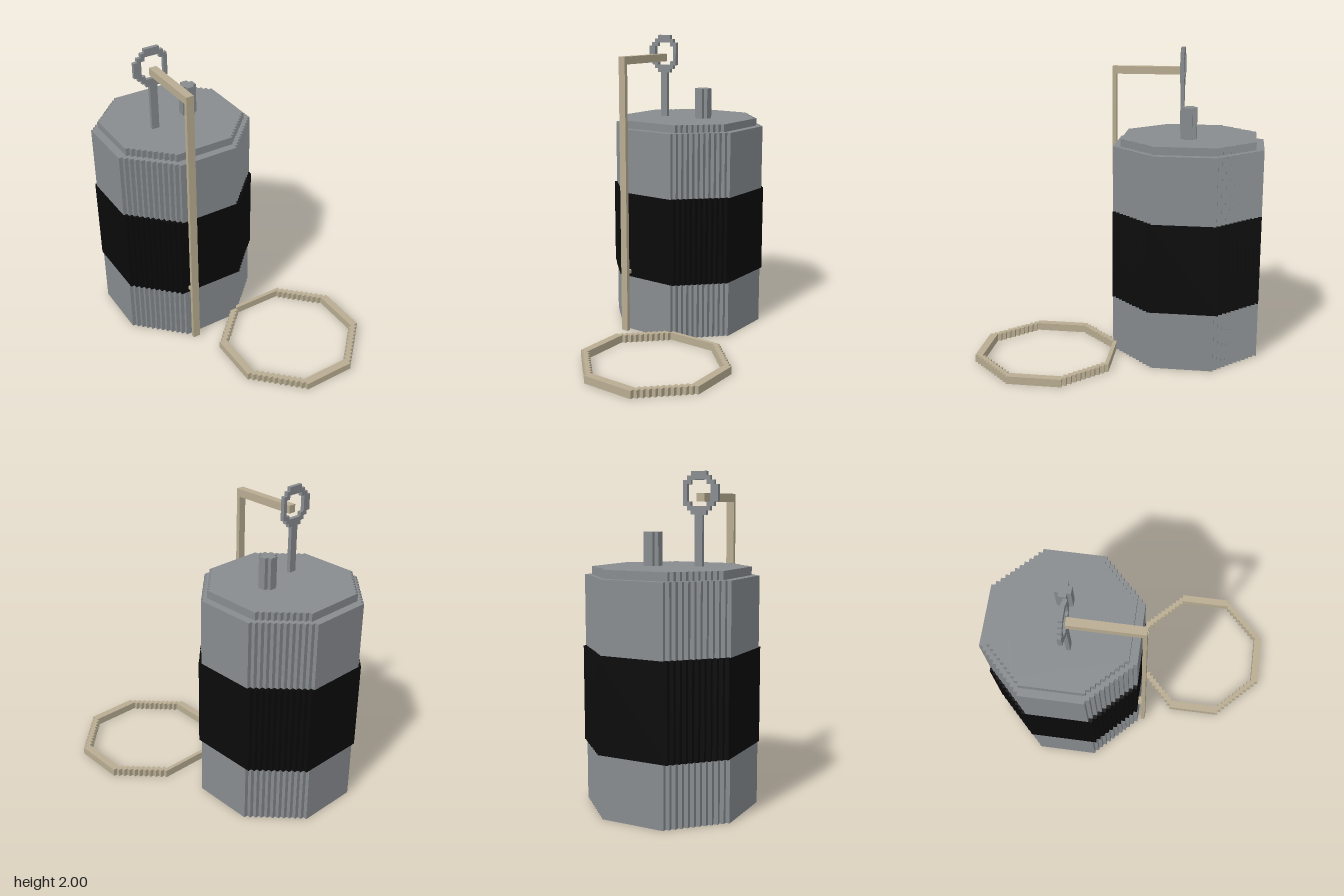
import * as THREE from 'three';

const U = 2 / 79; // size of one block

// Stepped octagon outline: n blocks wide, corner inset c, lower corner at (x0, y0).
// firstRow drops the lowest rows, maxX trims the right side.
function steppedOctagon(x0, y0, n, c, firstRow = 0, maxX = Infinity) {
  const left = [], right = [];
  for (let k = firstRow; k < n; k++) {
    const inset = Math.max(0, c - k, c - (n - 1 - k));
    const l = x0 + inset, r = Math.min(x0 + n - inset, maxX);
    for (const y of [y0 + k, y0 + k + 1]) {
      left.push([l, y]);
      right.push([r, y]);
    }
  }
  // keep only the true corners
  const pts = [...right, ...left.reverse()];
  const same = (a, b) => a[0] === b[0] && a[1] === b[1];
  const unique = pts.filter((p, i) => !same(p, pts[(i + 1) % pts.length]));
  const corners = unique.filter((p, i) => {
    const a = unique[(i + unique.length - 1) % unique.length], b = unique[(i + 1) % unique.length];
    return !((a[0] === p[0] && b[0] === p[0]) || (a[1] === p[1] && b[1] === p[1]));
  });
  return corners.map(([x, y]) => new THREE.Vector2(x * U, y * U));
}

function extrude(outline, blocks, hole) {
  const shape = new THREE.Shape(outline);
  if (hole) shape.holes.push(new THREE.Path(hole));
  return new THREE.ExtrudeGeometry(shape, { depth: blocks * U, bevelEnabled: false });
}

// Outline lying in the xz plane, filled from y0 to y1
function upright(outline, y0, y1, hole) {
  return extrude(outline, y1 - y0, hole).rotateX(Math.PI / 2).translate(0, y1 * U, 0);
}

// Box between two block corners
function block(x0, y0, z0, x1, y1, z1) {
  return new THREE.BoxGeometry((x1 - x0) * U, (y1 - y0) * U, (z1 - z0) * U)
    .translate((x0 + x1) / 2 * U, (y0 + y1) / 2 * U, (z0 + z1) / 2 * U);
}

export function createModel() {
  const group = new THREE.Group();
  const material = (name, color) => {
    const m = new THREE.MeshStandardMaterial({ color });
    m.name = name;
    return m;
  };
  const grey = material('grey metal', 0x888c8f);
  const black = material('black band', 0x0a0a0a);
  const tan = material('tan', 0xb9ad92);
  const add = (name, geometry, mat) => {
    const mesh = new THREE.Mesh(geometry, mat);
    mesh.name = name;
    group.add(mesh);
  };

  // Canister body with a band that is one step wider at the corners
  add('lowerBody', upright(steppedOctagon(-26, -36, 38, 11), 0, 15), grey);
  add('band', upright(steppedOctagon(-26, -36, 38, 10), 15, 38), black);
  add('upperBody', upright(steppedOctagon(-26, -36, 38, 11), 38, 55), grey);
  add('lid', upright(steppedOctagon(-24, -34, 34, 9), 55, 57), grey);

  // Fittings on the lid
  add('post', upright(steppedOctagon(-4, -19, 4, 1), 57, 65), grey);
  add('ringStem', block(-14, 57, -15, -12, 69, -14), grey);
  add('pullRing',
    extrude(steppedOctagon(-18, 69, 10, 3, 0, -9), 1, steppedOctagon(-16, 71, 6, 1))
      .translate(0, 0, -15 * U), grey);

  // Safety lever: tall strip, arm to the ring and a small tab on the body
  add('leverStrip', block(-14, 0, 3, -12, 74, 4), tan);
  add('leverArm', block(-14, 72, -14, -12, 74, 3), tan);
  add('leverTab', block(-14, 16, 2, -12, 17, 3), tan);

  // Loose hoop lying in front
  add('groundHoop',
    upright(steppedOctagon(-10, 0, 36, 11, 1), 0, 2, steppedOctagon(-8, 2, 32, 9)), tan);

  return group;
}
